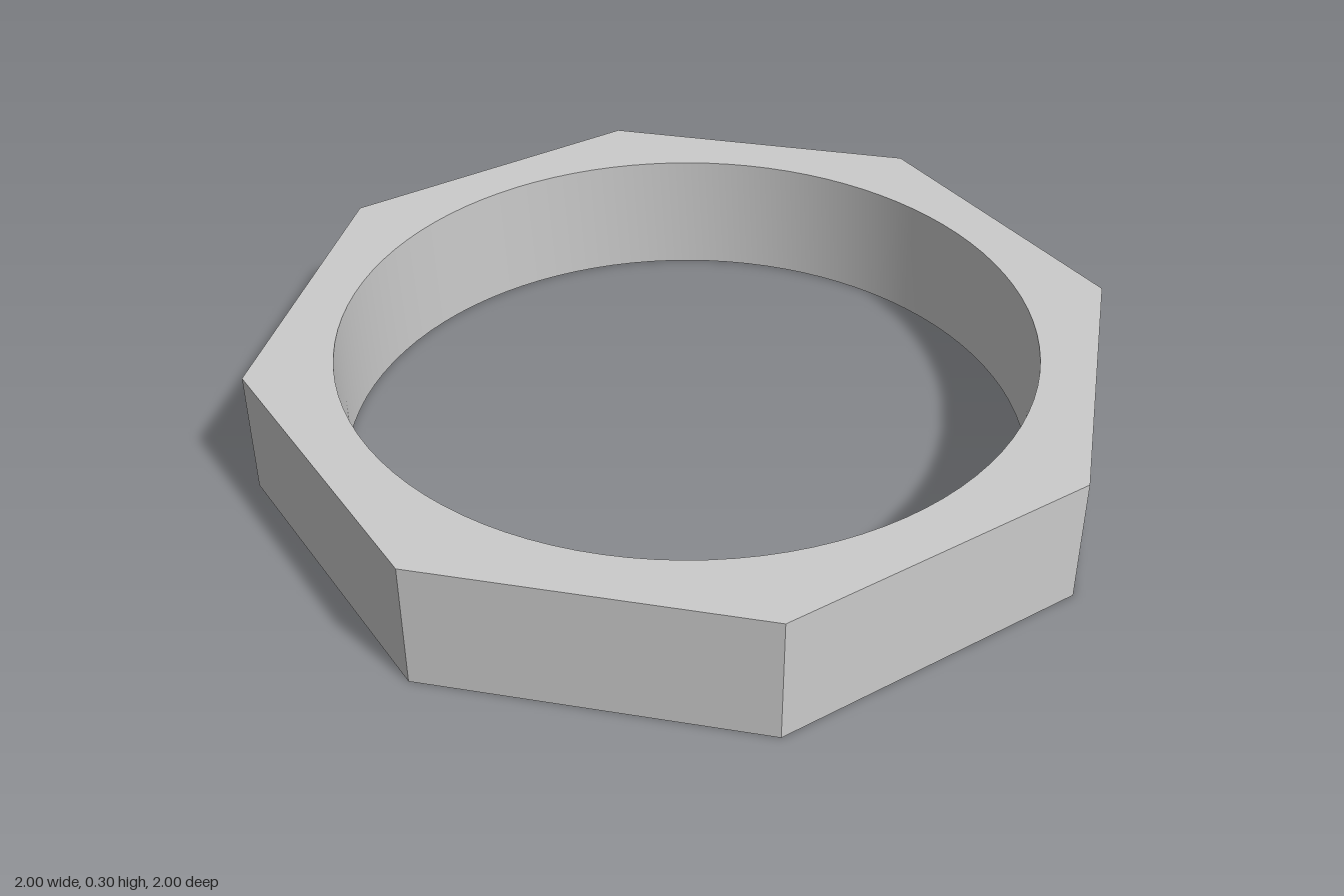
import * as THREE from 'three';
import { toCreasedNormals } from 'three/addons/utils/BufferGeometryUtils.js';

const SIDES = 8, OUTER_RADIUS = 1, HOLE_RADIUS = 0.8, HEIGHT = 0.3;

export function createModel() {
  const group = new THREE.Group();
  group.name = 'octagonalRing';

  // Octagonal outline with corners on the x and z axes
  const corners = Array.from({ length: SIDES }, (_, i) => {
    const angle = (i / SIDES) * Math.PI * 2;
    return new THREE.Vector2(Math.cos(angle), Math.sin(angle)).multiplyScalar(OUTER_RADIUS);
  });
  const outline = new THREE.Shape(corners);

  // Round bore through the middle
  const bore = new THREE.Path();
  bore.absarc(0, 0, HOLE_RADIUS, 0, Math.PI * 2, true);
  outline.holes.push(bore);

  const extruded = new THREE.ExtrudeGeometry(outline, {
    depth: HEIGHT, bevelEnabled: false, curveSegments: 48,
  });
  extruded.rotateX(-Math.PI / 2);

  // Smooth bore, sharp outer corners and rims
  const ring = new THREE.Mesh(
    toCreasedNormals(extruded, Math.PI / 6),
    new THREE.MeshStandardMaterial({ color: 0xcccccc }),
  );
  ring.name = 'ringBody';
  group.add(ring);
  return group;
}
